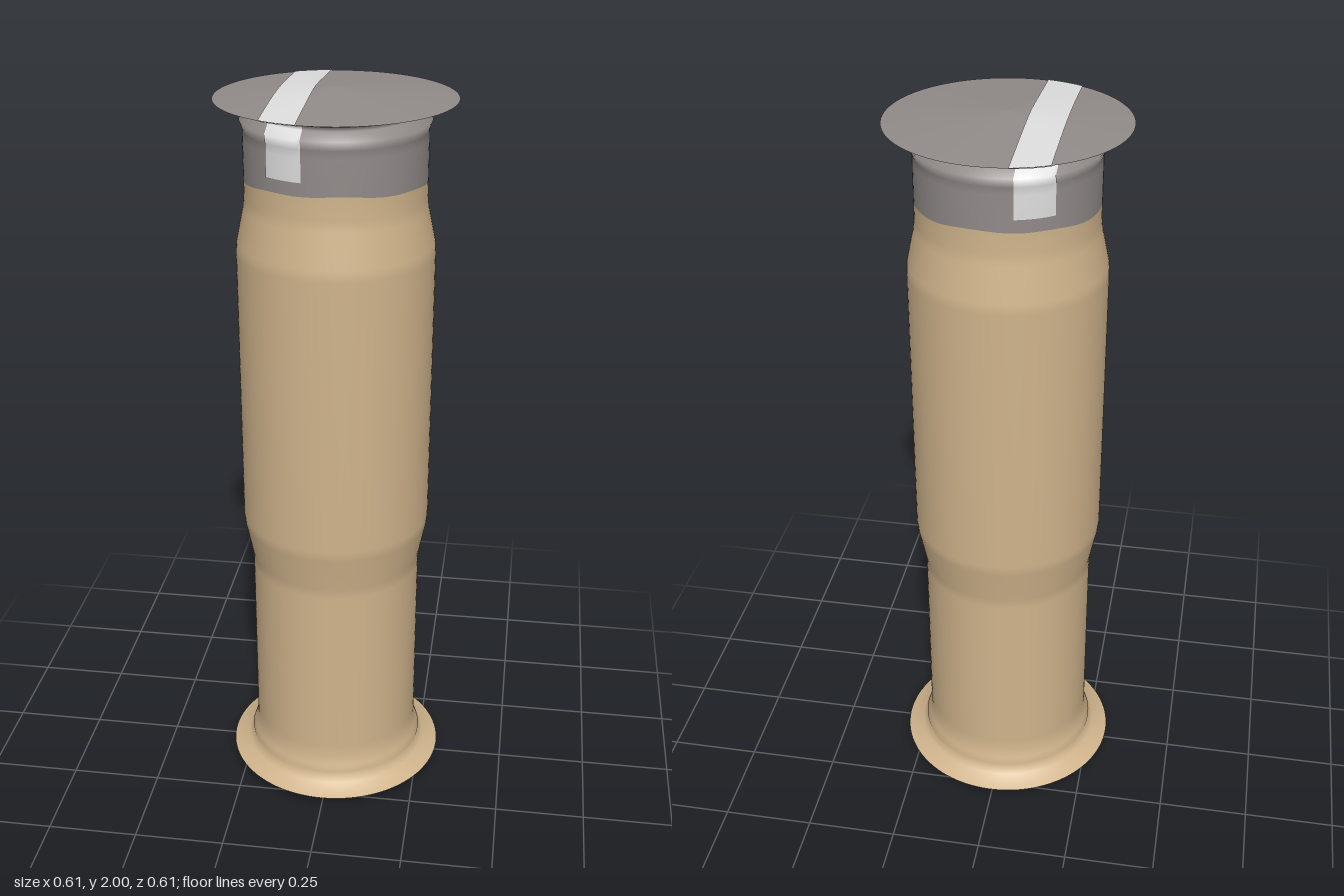
import * as THREE from 'three';

const mat = (name, color) => new THREE.MeshStandardMaterial({ name, color, side: THREE.DoubleSide });
const SEG = 96;
const RIM = 0.307;

export function createModel() {
  const group = new THREE.Group();
  const tan = mat('tan', 0xd0b48c);
  const grey = mat('grey', 0x918b89);
  const white = mat('pale stripe', 0xdedede);
  const dark = mat('dark brown', 0x5e4c40);

  const add = (name, geometry, material) => {
    const mesh = new THREE.Mesh(geometry, material);
    mesh.name = name;
    group.add(mesh);
    return mesh;
  };
  const lathe = (pts) => new THREE.LatheGeometry(pts.map(([r, y]) => new THREE.Vector2(r, y)), SEG);

  // Uneven paint edge: moves one ring of a lathe up and down around the tube
  const wave = (geometry, edgeY) => {
    const p = geometry.attributes.position;
    for (let i = 0; i < p.count; i++) {
      if (Math.abs(p.getY(i) - edgeY) > 1e-4) continue;
      const a = Math.atan2(p.getX(i), p.getZ(i));
      p.setY(i, edgeY + 0.007 * Math.cos(2 * a) + 0.002 * Math.sin(7 * a));
    }
    return geometry;
  };

  // Grid surface whose points follow a rule f(u, v) -> [x, y, z]
  const sheet = (nu, nv, f) => {
    const g = new THREE.PlaneGeometry(1, 1, nu, nv);
    const p = g.attributes.position;
    for (let i = 0; i < p.count; i++) p.setXYZ(i, ...f(p.getX(i) + 0.5, p.getY(i) + 0.5));
    g.computeVertexNormals();
    return g;
  };

  // Tube body with its bottom flare
  const edge = 1.781;
  add('body', wave(lathe([
    [RIM, 0.03], [0.29, 0.037], [0.262, 0.052], [0.249, 0.066], [0.25, 0.08], [0.243, 0.1],
    [0.235, 0.125], [0.235, 0.16], [0.235, 0.66], [0.236, 0.69], [0.256, 0.79], [0.259, 0.82],
    [0.259, 1.58], [0.257, 1.61], [0.238, 1.7], [0.235, 1.73], [0.235, edge],
  ]), edge), tan);
  add('lowerRim', lathe([[0.237, 0.002], [RIM, 0.03]]), tan);

  // Painted collar with a groove under the cap
  const collar = [
    [0.235, 1.82], [0.235, 1.88], [0.234, 1.9], [0.242, 1.924], [0.205, 1.94],
    [0.2, 1.95], [0.24, 1.958], [RIM, 1.976],
  ];
  add('collar', wave(lathe([[0.235, edge], ...collar]), edge), grey);

  // Shallow conical cap
  const capY = (r) => 2 - 0.024 * r / RIM;
  add('cap', lathe([[RIM, 1.976], [0.15, capY(0.15)], [0, 2]]), grey);

  // Pale stripe across the cap and down both sides of the collar
  const x0 = -0.146, x1 = -0.053;
  add('capStripe', sheet(8, 24, (u, v) => {
    const x = x0 + (x1 - x0) * u;
    const z = (1 - 2 * v) * Math.sqrt(RIM * RIM - x * x);
    return [x, capY(Math.hypot(x, z)) + 0.0015, z];
  }), white);
  for (const side of [1, -1]) {
    add(side > 0 ? 'frontStripe' : 'backStripe', sheet(8, collar.length - 1, (u, v) => {
      const [r, y] = collar[Math.round(v * (collar.length - 1))];
      const x = side > 0 ? x0 + (x1 - x0) * u : x1 + (x0 - x1) * u;
      return [x, y - (r > 0.235 && y > 1.95 ? 0.001 : 0), side * Math.sqrt((r + 0.002) ** 2 - x * x)];
    }), white);
  }

  // Dark base with a tan segment and a small dark patch
  add('base', lathe([[0, 0.002], [0.237, 0.002]]), dark);
  add('baseSegment', sheet(16, 1, (u, v) => {
    const x = 0.05 + 0.186 * u;
    return [x, 0.001, (2 * v - 1) * Math.sqrt(Math.max(0, 0.236 ** 2 - x * x))];
  }), tan);
  add('basePatch', sheet(1, 1, (u, v) => [0.165 + 0.05 * u, 0, (2 * v - 1) * 0.09]), dark);

  return group;
}
